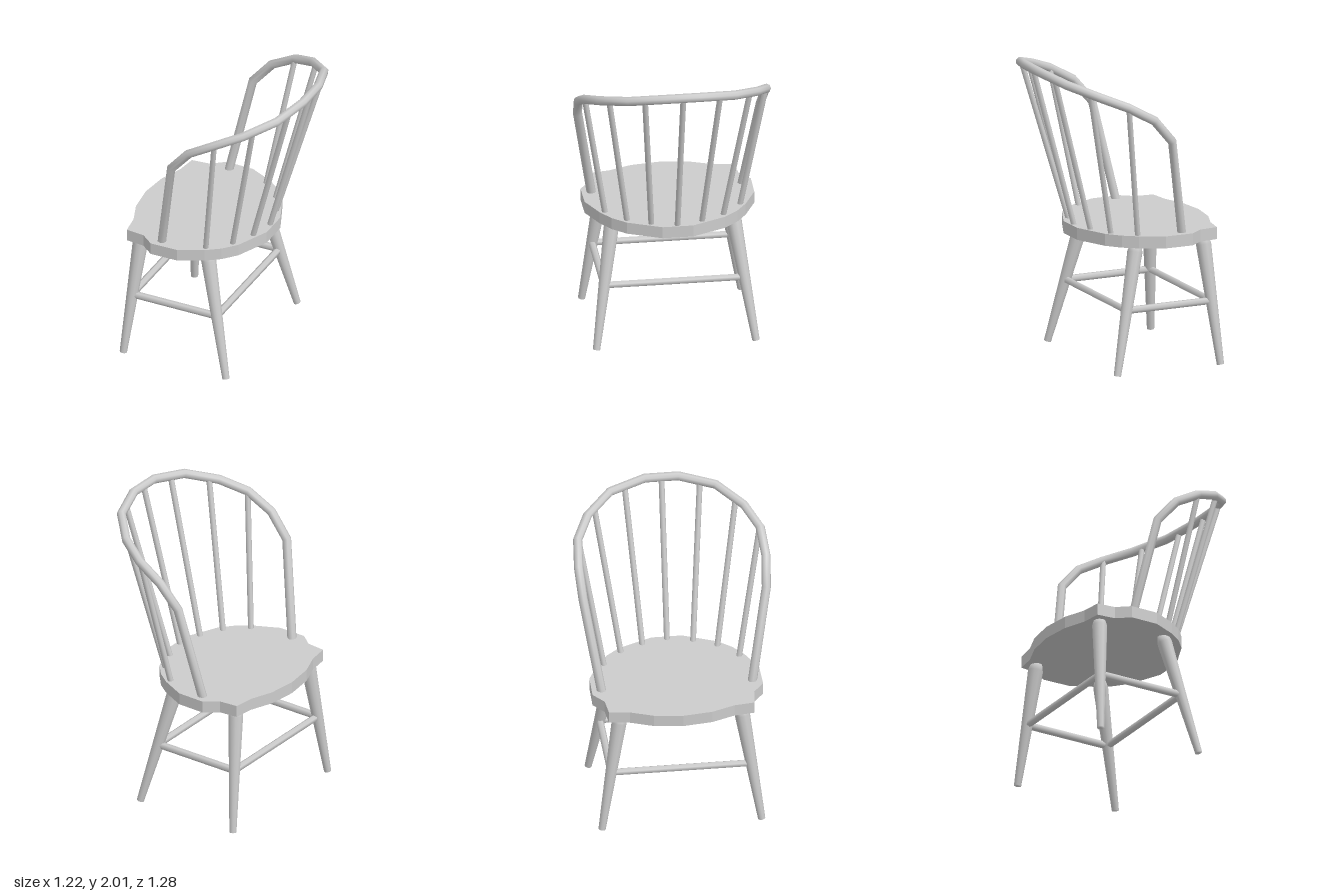
import * as THREE from 'three';

const material = new THREE.MeshStandardMaterial({ color: 0xcccccc });
const V = (x, y, z) => new THREE.Vector3(x, y, z);

// Straight polyline whose joints are mitred along the bisector.
class Polyline extends THREE.Curve {
  constructor(points) { super(); this.points = points; }
  getPointAt(u) {
    const f = u * (this.points.length - 1);
    const i = Math.min(Math.floor(f), this.points.length - 2);
    return this.points[i].clone().lerp(this.points[i + 1], f - i);
  }
  getPoint(t) { return this.getPointAt(t); }
  getTangentAt(u) {
    const p = this.points, i = Math.round(u * (p.length - 1));
    const t = V(0, 0, 0);
    if (i > 0) t.add(p[i].clone().sub(p[i - 1]).normalize());
    if (i < p.length - 1) t.add(p[i + 1].clone().sub(p[i]).normalize());
    return t.normalize();
  }
}

export function createModel() {
  const model = new THREE.Group();
  model.name = 'hoopBackChair';

  const add = (name, geometry) => {
    const mesh = new THREE.Mesh(geometry, material);
    mesh.name = name;
    model.add(mesh);
    return mesh;
  };
  // Places a geometry built along +y so that it runs from a to b.
  const along = (name, geometry, a, b) => {
    const mesh = add(name, geometry);
    mesh.position.copy(a).add(b).multiplyScalar(0.5);
    mesh.quaternion.setFromUnitVectors(V(0, 1, 0), b.clone().sub(a).normalize());
  };
  const rod = (name, a, b, r, sides) =>
    along(name, new THREE.CylinderGeometry(r, r, a.distanceTo(b), sides), a, b);

  // Seat: half outline from the front centre to the back, then mirrored
  const half = [[-0.587, 0.19], [-0.53, 0.34], [-0.512, 0.475], [-0.387, 0.487], [-0.3, 0.556],
    [-0.11, 0.553], [0.05, 0.476], [0.14, 0.41], [0.217, 0.32], [0.312, 0.1]];
  const outline = [[-0.61, 0], ...half, ...half.map(([x, z]) => [x, -z]).reverse()];
  const seat = new THREE.ExtrudeGeometry(
    new THREE.Shape(outline.map(([x, z]) => new THREE.Vector2(x, z))),
    { depth: 0.08, bevelEnabled: false });
  seat.rotateX(Math.PI / 2).translate(0, 0.905, 0);
  add('seat', seat);

  // Bent hoop of the back
  const bow = [[-0.258, 0.86, 0.485], [-0.132, 1.545, 0.597], [0, 1.7, 0.61], [0.175, 1.8, 0.595],
    [0.345, 1.87, 0.51], [0.505, 1.935, 0.345], [0.578, 1.972, 0.11]];
  const hoop = [...bow.map(p => V(...p)), ...bow.map(([x, y, z]) => V(x, y, -z)).reverse()];
  add('backHoop', new THREE.TubeGeometry(new Polyline(hoop), hoop.length - 1, 0.03, 8));

  // Spindles between seat and hoop
  rod('centreSpindle', V(0.278, 0.87, 0), V(0.578, 1.97, 0), 0.019, 8);
  const spindles = [
    [[0.238, 0.87, 0.163], [0.54, 1.945, 0.245]],
    [[0.166, 0.87, 0.31], [0.39, 1.89, 0.46]],
    [[0.036, 0.87, 0.436], [0.175, 1.8, 0.59]],
  ];

  // Legs: tapered turning with a shoulder just below the seat
  const leg = (name, foot, top) => {
    const h = foot.distanceTo(top);
    const profile = [[0, 0], [0.024, 0], [0.05, 0.94], [0.037, 1], [0, 1]]
      .map(([r, t]) => new THREE.Vector2(r, (t - 0.5) * h));
    along(name, new THREE.LatheGeometry(profile, 10), foot, top);
  };

  for (const s of [1, -1]) {
    spindles.forEach(([[ax, ay, az], [bx, by, bz]]) =>
      rod('spindle', V(ax, ay, az * s), V(bx, by, bz * s), 0.019, 8));
    leg('frontLeg', V(-0.515, 0, 0.52 * s), V(-0.447, 0.835, 0.393 * s));
    leg('rearLeg', V(0.225, 0, 0.52 * s), V(0.03, 0.835, 0.393 * s));
    rod('sideStretcher', V(-0.48, 0.415, 0.457 * s), V(0.128, 0.415, 0.457 * s), 0.024, 6);
  }

  // Front and rear stretchers
  rod('frontStretcher', V(-0.481, 0.415, -0.457), V(-0.481, 0.415, 0.457), 0.024, 6);
  rod('rearStretcher', V(0.128, 0.415, -0.457), V(0.128, 0.415, 0.457), 0.024, 6);

  return model;
}
